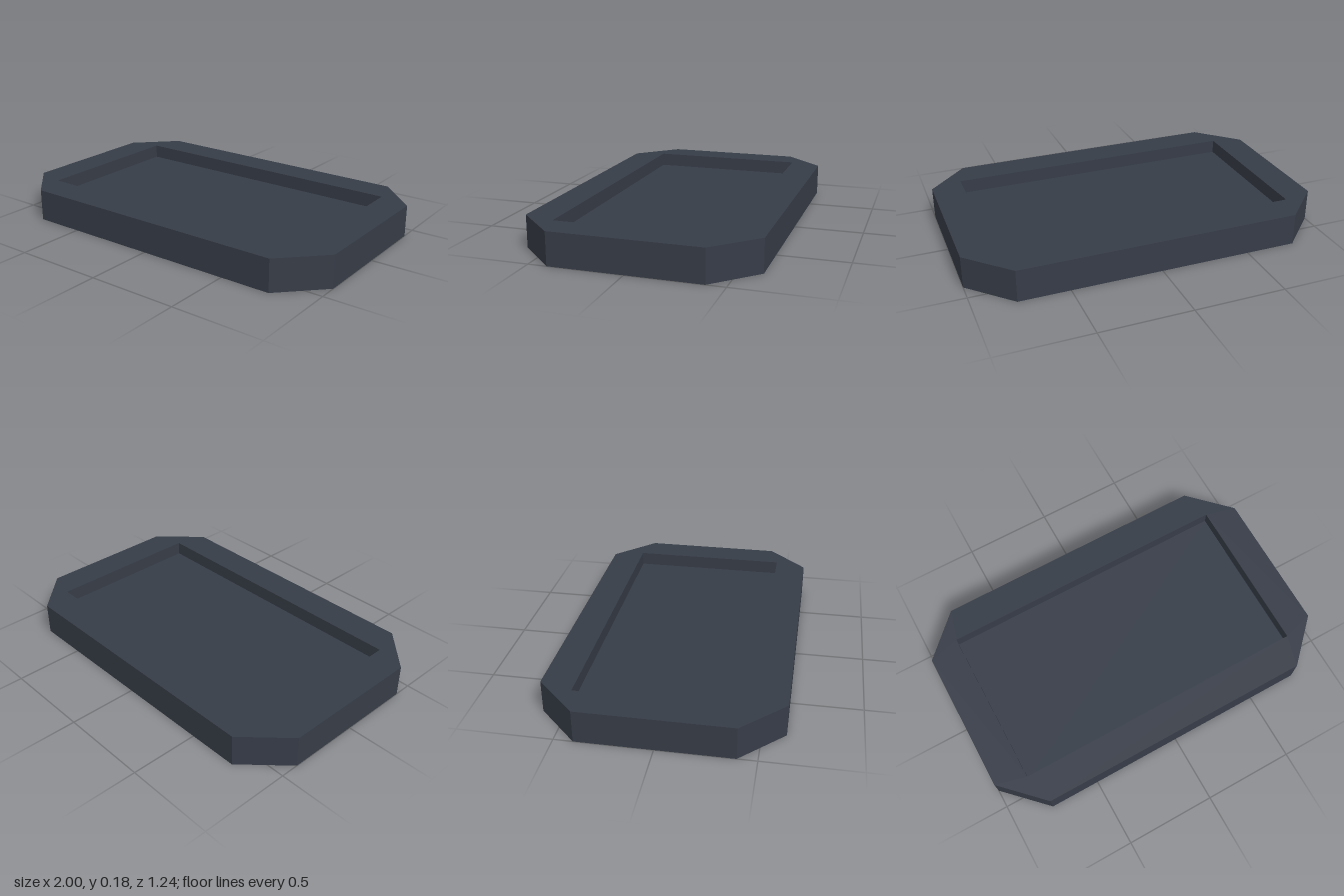
import * as THREE from 'three';

// Extrudes a flat outline upwards from y = 0
function slab(points, height, hole) {
  const shape = new THREE.Shape(points.map(([x, y]) => new THREE.Vector2(x, y)));
  if (hole) shape.holes.push(new THREE.Path(hole.map(([x, y]) => new THREE.Vector2(x, y))));
  const geo = new THREE.ExtrudeGeometry(shape, { depth: height, bevelEnabled: false });
  return geo.rotateX(-Math.PI / 2);
}

export function createModel() {
  const model = new THREE.Group();
  model.name = 'ventTray';
  const slate = new THREE.MeshStandardMaterial({ color: 0x363c47, flatShading: true });
  slate.name = 'slate';

  const add = (name, geometry, y = 0) => {
    const mesh = new THREE.Mesh(geometry, slate);
    mesh.name = name;
    mesh.position.y = y;
    model.add(mesh);
    return mesh;
  };

  // Octagonal rim with a rectangular opening
  const X = 1, Z = 0.622, C = 0.222, hx = 0.827, hz = 0.446;
  const outline = [
    [X - C, -Z], [X, -Z + C], [X, Z - C], [X - C, Z],
    [-X + C, Z], [-X, Z - C], [-X, -Z + C], [-X + C, -Z],
  ];
  const opening = [[-hx, -hz], [-hx, hz], [hx, hz], [hx, -hz]];
  add('frame', slab(outline, 0.178, opening));

  // Recessed panel, set in from both the top and the underside
  add('panel', new THREE.BoxGeometry(hx * 2, 0.055, hz * 2), 0.0725);

  // Fan on the underside: round hub and three tapered blades
  add('fanHub', new THREE.CylinderGeometry(0.155, 0.155, 0.03, 8), 0.035);
  const blade = slab([[0.12, -0.052], [0.46, -0.11], [0.46, 0.11], [0.12, 0.052]], 0.02);
  for (let i = 0; i < 3; i++) {
    add('fanBlade', blade, 0.004).rotation.y = (i * Math.PI * 2) / 3;
  }

  return model;
}
